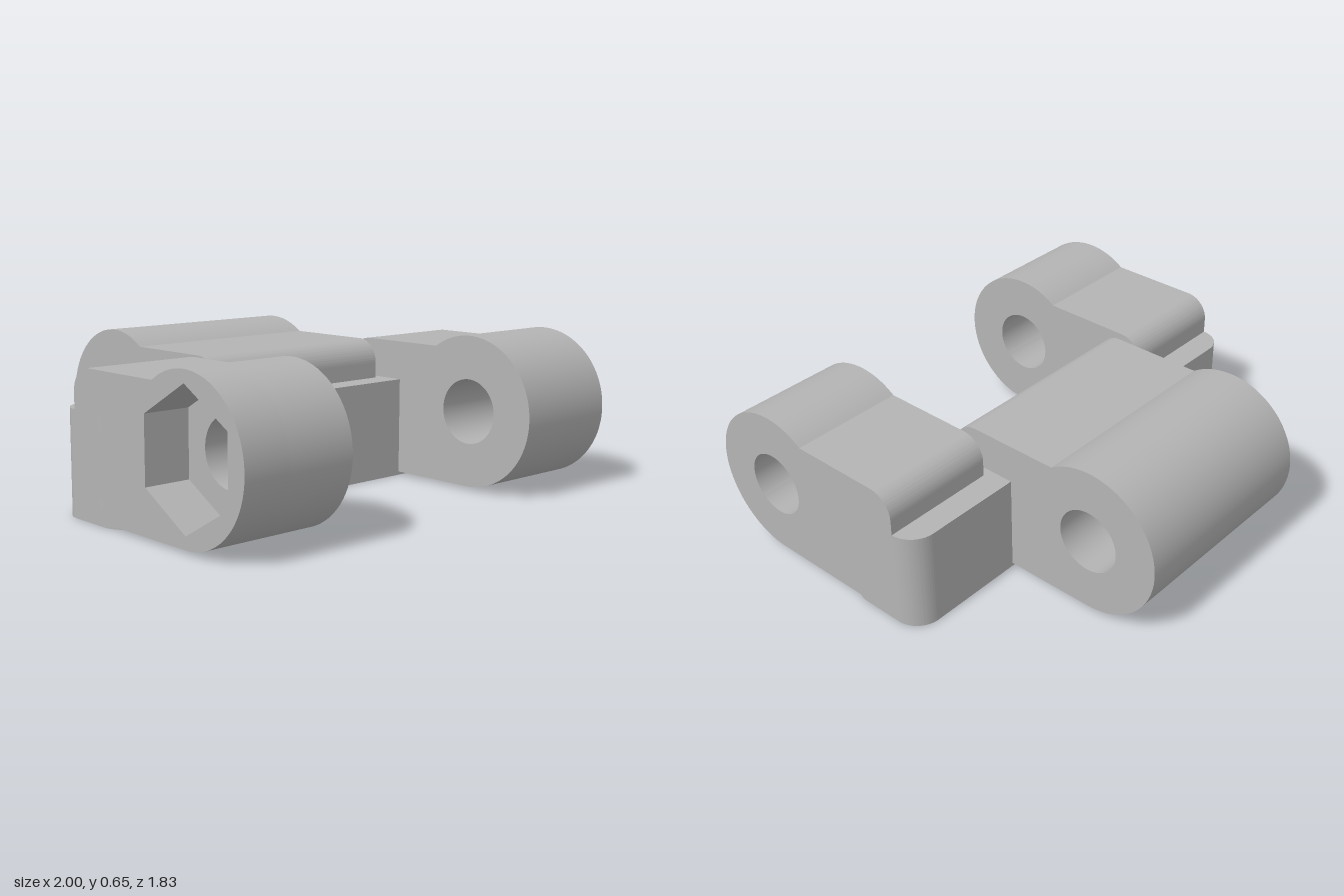
import * as THREE from 'three';
import { toCreasedNormals } from 'three/addons/utils/BufferGeometryUtils.js';

const R = 0.32;            // outer radius of the eyes
const CU = 0.593, CY = 0.335; // eye centre: reach and height
const TOP = 0.597;         // flat top of the arms
const BACK = -0.09, FILLET = 0.1;

// Side profile of one hinge arm: rounded root, flat top, round eye
function armShape(hole) {
  const dy = TOP - CY;
  const du = Math.sqrt(R * R - dy * dy);
  const s = new THREE.Shape();
  s.moveTo(BACK + FILLET, TOP);
  s.lineTo(CU - du, TOP);
  s.absarc(CU, CY, R, Math.atan2(dy, -du), -Math.PI / 2, true);
  s.lineTo(BACK + FILLET, CY - R);
  s.absarc(BACK + FILLET, CY - R + FILLET, FILLET, -Math.PI / 2, -Math.PI, true);
  s.lineTo(BACK, TOP - FILLET);
  s.absarc(BACK + FILLET, TOP - FILLET, FILLET, Math.PI, Math.PI / 2, true);
  s.holes.push(hole);
  return s;
}

function roundHole() {
  return new THREE.Path().absarc(CU, CY, 0.137, 0, Math.PI * 2, false);
}

function hexHole() {
  const pts = [];
  for (let i = 0; i < 6; i++) {
    const a = Math.PI / 2 + i * Math.PI / 3;
    pts.push(new THREE.Vector2(CU + 0.27 * Math.cos(a), CY + 0.27 * Math.sin(a)));
  }
  return new THREE.Path(pts).closePath();
}

function extrude(shape, depth) {
  return new THREE.ExtrudeGeometry(shape, { depth, bevelEnabled: false, curveSegments: 40 });
}

export function createModel() {
  const group = new THREE.Group();
  const grey = new THREE.MeshStandardMaterial({ color: 0xb4b4b4 });
  grey.name = 'grey';

  const add = (name, geometry) => {
    const mesh = new THREE.Mesh(toCreasedNormals(geometry, 0.5), grey);
    mesh.name = name;
    group.add(mesh);
  };

  // Forward-reaching arm section between two x positions
  const addArm = (name, x0, x1, hole) =>
    add(name, extrude(armShape(hole), x1 - x0).rotateY(-Math.PI / 2).translate(x1, 0, 0));

  // Crossbar with rounded vertical corners
  const c = 0.11, w = 1, d = 0.2;
  const bar = new THREE.Shape();
  bar.absarc(w - c, d - c, c, 0, Math.PI / 2, false);
  bar.absarc(-w + c, d - c, c, Math.PI / 2, Math.PI, false);
  bar.absarc(-w + c, -d + c, c, Math.PI, Math.PI * 1.5, false);
  bar.absarc(w - c, -d + c, c, Math.PI * 1.5, Math.PI * 2, false);
  bar.closePath();
  add('crossbar', extrude(bar, 0.43).rotateX(-Math.PI / 2));

  // Two front arms; the one at -x has a hexagonal nut pocket on its outside
  addArm('leftArm', 0.5, 1, roundHole());
  addArm('rightArmInner', -0.8, -0.5, roundHole());
  addArm('rightArmNutPocket', -1, -0.8, hexHole());

  // Wide rear knuckle, the same profile turned backwards
  add('rearKnuckle', extrude(armShape(roundHole()), 0.92).rotateY(Math.PI / 2).translate(-0.46, 0, 0));

  return group;
}
